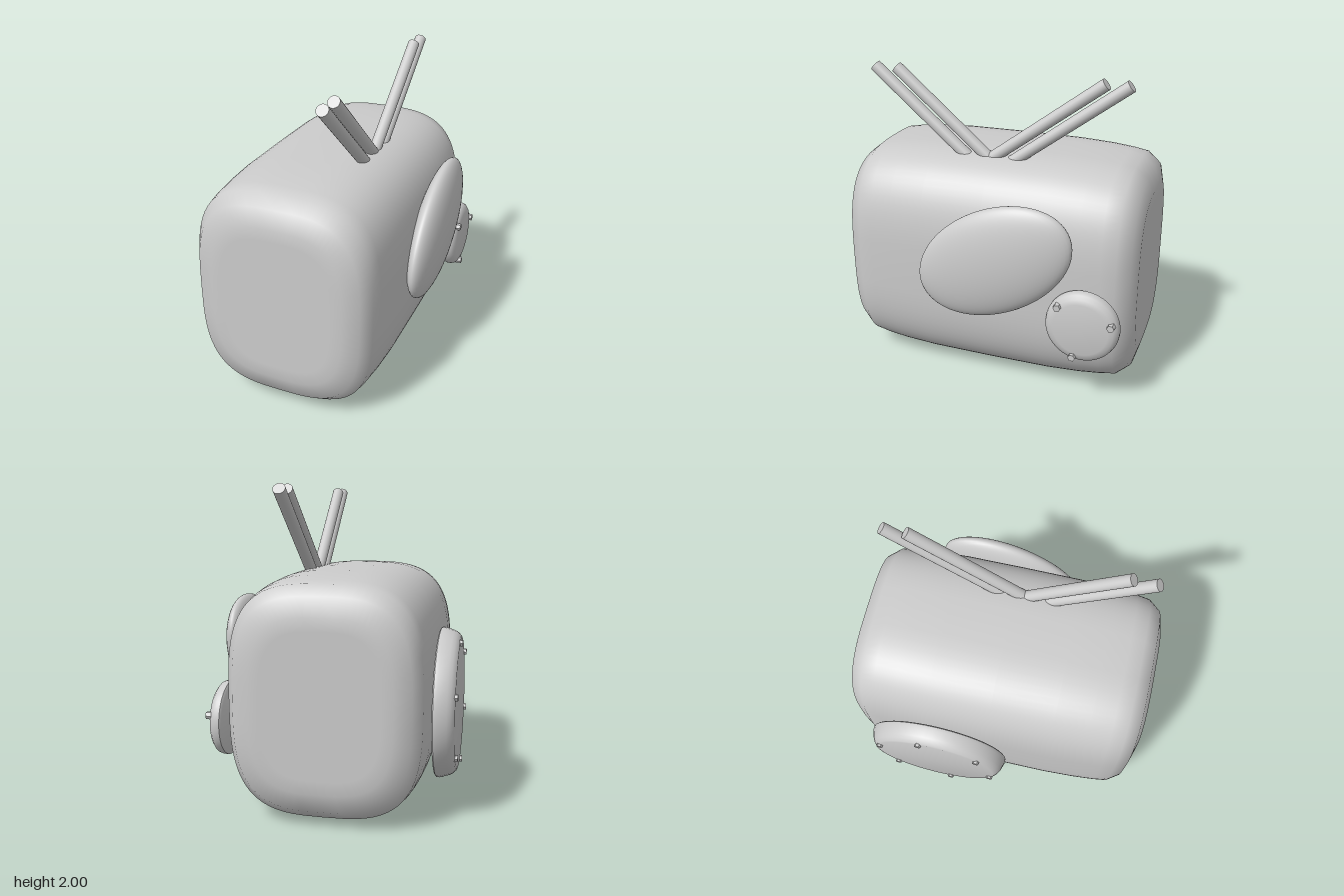
import * as THREE from 'three';
import { toCreasedNormals } from 'three/addons/utils/BufferGeometryUtils.js';

const material = new THREE.MeshStandardMaterial({ color: 0xcccccc });

function add(parent, name, geometry) {
  const mesh = new THREE.Mesh(geometry, material);
  mesh.name = name;
  parent.add(mesh);
  return mesh;
}

// Rounded-square rings lofted along z; each station is [z, halfWidth, halfHeight]
function bodyGeometry() {
  const half = [[0, 0.615, 0.74], [0.4, 0.614, 0.737], [0.62, 0.605, 0.727], [0.76, 0.594, 0.713],
    [0.85, 0.582, 0.698], [0.93, 0.53, 0.635], [0.963, 0.43, 0.52], [0.963, 0.36, 0.44], [0.963, 0, 0]];
  const stations = [...half.slice(1).reverse().map(([z, w, h]) => [-z, w, h]), ...half];
  const n = 72, power = 2 / 3.2, positions = [], index = [];
  const soft = (v) => Math.sign(v) * Math.abs(v) ** power;
  stations.forEach(([z, w, h], i) => {
    for (let j = 0; j < n; j++) {
      const t = (j / n) * Math.PI * 2;
      positions.push(w * soft(Math.cos(t)), h * soft(Math.sin(t)), z);
      if (i === stations.length - 1) continue;
      const a = i * n + j, b = i * n + (j + 1) % n;
      index.push(a, b, a + n, b, b + n, a + n);
    }
  });
  const g = new THREE.BufferGeometry();
  g.setAttribute('position', new THREE.Float32BufferAttribute(positions, 3));
  g.setIndex(index);
  g.computeVertexNormals();
  return g;
}

// Bolted disc whose axis points along +y, with bolts given as [angle, radius]
function boltedDisc(name, profile, bolts, boltRadius, boltTop) {
  const group = new THREE.Group();
  group.name = name;
  const points = profile.map(([r, y]) => new THREE.Vector2(r, y));
  add(group, name + 'Plate', toCreasedNormals(new THREE.LatheGeometry(points, 48), 0.7));
  for (const [y, z] of bolts) {
    const bolt = add(group, name + 'Bolt',
      toCreasedNormals(new THREE.CylinderGeometry(boltRadius * 0.85, boltRadius, 0.04, 6), 0.5));
    bolt.position.set(y, boltTop - 0.02, z);
  }
  return group;
}

export function createModel() {
  const model = new THREE.Group();
  model.name = 'model';

  const body = add(model, 'body', bodyGeometry());
  body.position.set(-0.004, 0.74, 0);

  // Two pairs of slanted rods on top: [base z, tip z]
  for (const [z0, z1] of [[0.245, 0.825], [0.095, 0.675], [0, -0.675], [-0.147, -0.822]]) {
    const base = new THREE.Vector3(0.255, 1.47, z0);
    const tip = new THREE.Vector3(0.255, 1.971, z1);
    const dir = tip.clone().sub(base).normalize();
    base.addScaledVector(dir, -0.08);
    const rod = add(model, z1 > 0 ? 'frontRod' : 'backRod',
      new THREE.CylinderGeometry(0.038, 0.038, base.distanceTo(tip), 24));
    rod.position.copy(base).add(tip).multiplyScalar(0.5);
    rod.quaternion.setFromUnitVectors(new THREE.Vector3(0, 1, 0), dir);
  }

  // Tilted oval pad on the left side
  const pad = add(model, 'ovalPad', new THREE.SphereGeometry(1, 48, 32));
  pad.scale.set(0.107, 0.333, 0.535);
  pad.rotation.x = THREE.MathUtils.degToRad(29);
  pad.position.set(0.65, 0.915, -0.11);

  // Small round cover on the left side; its local -x is up
  const cover = boltedDisc('smallCover',
    [[0, 0], [0.215, 0], [0.23, 0.01], [0.23, 0.035], [0.222, 0.06], [0.2, 0.078], [0.17, 0.086], [0, 0.088]],
    [[-0.13, 0.145], [-0.055, -0.185], [0.195, 0.045]], 0.027, 0.102);
  cover.rotation.z = -Math.PI / 2;
  cover.position.set(0.613, 0.58, -0.68);
  model.add(cover);

  // Large round cover on the right side; its local +x is up
  const ring = [];
  for (let i = 0; i < 6; i++) {
    const a = THREE.MathUtils.degToRad(-18 + i * 60);
    ring.push([0.4 * Math.sin(a), 0.4 * Math.cos(a)]);
  }
  const bigCover = boltedDisc('largeCover',
    [[0, 0], [0.46, 0], [0.47, 0.008], [0.47, 0.03], [0.452, 0.085], [0.44, 0.105], [0.42, 0.125], [0.405, 0.13], [0, 0.13]],
    ring, 0.024, 0.145);
  bigCover.rotation.z = Math.PI / 2;
  bigCover.position.set(-0.627, 0.66, -0.345);
  model.add(bigCover);

  return model;
}
